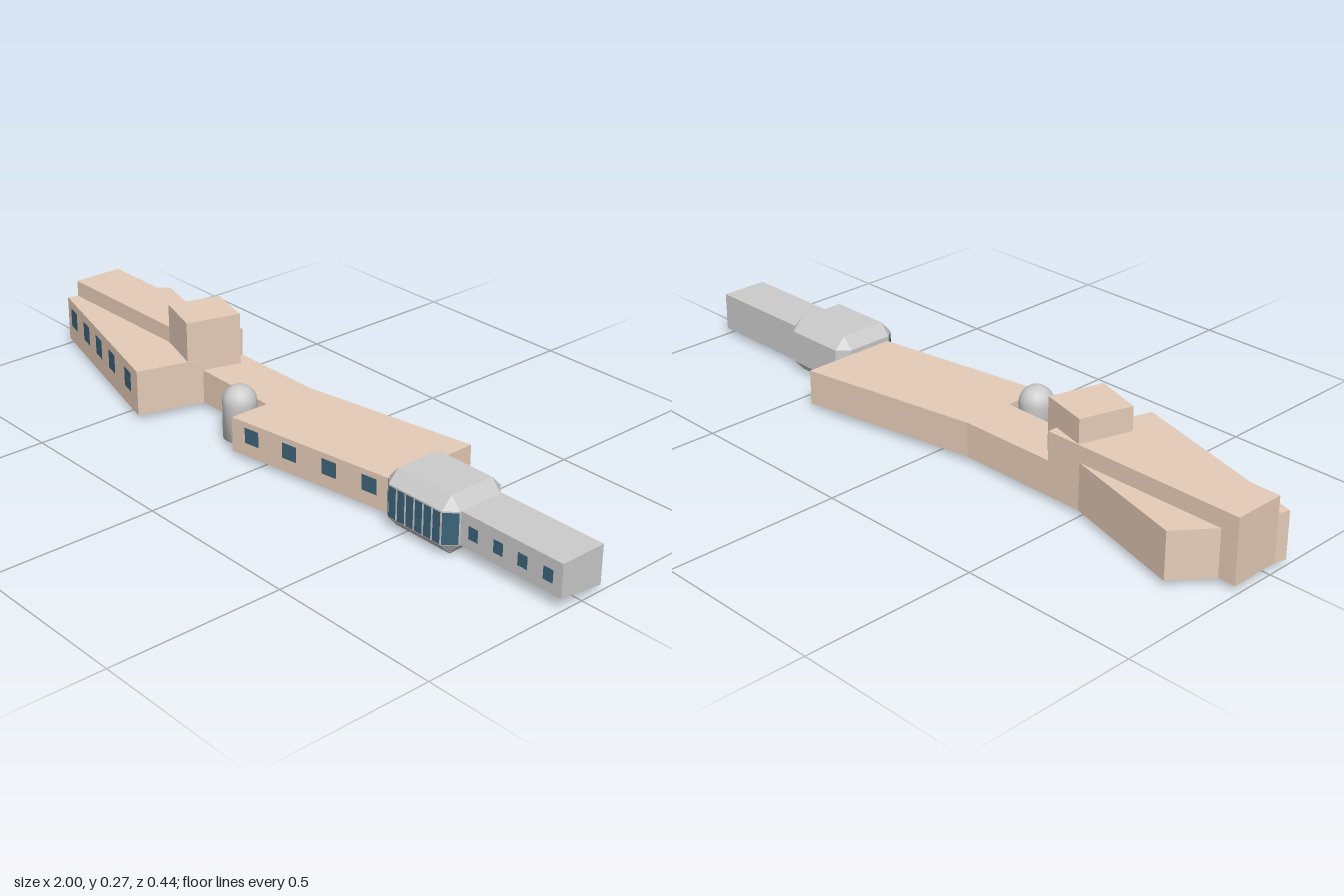
import * as THREE from 'three';

const material = (color) => new THREE.MeshStandardMaterial({ color, flatShading: true, side: THREE.DoubleSide });

// Flat-faced solid through rings of [x, y, z] points (anticlockwise from above)
function loft(rings, closedBase) {
  const pos = [];
  const tri = (a, b, c) => pos.push(...a, ...b, ...c);
  const n = rings[0].length;
  for (let r = 0; r < rings.length - 1; r++) {
    const lo = rings[r], hi = rings[r + 1];
    for (let i = 0; i < n; i++) {
      const j = (i + 1) % n;
      tri(lo[i], lo[j], hi[j]);
      tri(lo[i], hi[j], hi[i]);
    }
  }
  const top = rings[rings.length - 1], base = rings[0];
  for (let i = 1; i < n - 1; i++) {
    tri(top[0], top[i], top[i + 1]);
    if (closedBase) tri(base[0], base[i + 1], base[i]);
  }
  const g = new THREE.BufferGeometry();
  g.setAttribute('position', new THREE.Float32BufferAttribute(pos, 3));
  g.computeVertexNormals();
  return g;
}

const ring = (plan, y) => plan.map(([x, z]) => [x, y, z]);
const prism = (plan, y0, y1, closedBase) => loft([ring(plan, y0), ring(plan, y1)], closedBase);

export function createModel() {
  const model = new THREE.Group();
  const tan = material(0xe6ccb8), grey = material(0xcccccc), glass = material(0x3c6379);

  const add = (name, geometry, mat) => {
    const mesh = new THREE.Mesh(geometry, mat);
    mesh.name = name;
    model.add(mesh);
    return mesh;
  };

  // Row of panes on the wall running from a to b ([x, z]), placed by x
  const windows = (name, a, b, xs, y, w, h) => {
    const angle = Math.atan2(b[1] - a[1], b[0] - a[0]);
    const group = new THREE.Group();
    group.name = name;
    for (const x of xs) {
      const z = a[1] + (b[1] - a[1]) * (x - a[0]) / (b[0] - a[0]);
      const pane = new THREE.Mesh(new THREE.PlaneGeometry(w, h), glass);
      pane.name = 'pane';
      pane.position.set(x - Math.sin(angle) * 0.002, y, z + Math.cos(angle) * 0.002);
      pane.rotation.y = -angle;
      group.add(pane);
    }
    model.add(group);
  };

  // Skewed west wing, open underneath
  const wingA = [-1, 0.06], wingB = [-0.436, 0.22];
  add('westWing', prism([wingA, wingB, [-0.35, -0.08], [-0.86, -0.22], [-0.94, -0.12]], 0.016, 0.15, false), tan);
  windows('westWindows', wingA, wingB, [-0.945, -0.838, -0.735, -0.63, -0.505], 0.098, 0.05, 0.058);

  // Long raised block running through the west wing
  add('longBlock', prism([[-0.99, 0.03], [-0.39, 0.03], [-0.39, -0.12], [-0.99, -0.12]], 0.016, 0.198, true), tan);

  // Tower block on the wing's inner corner
  add('tower', prism([[-0.535, 0.03], [-0.395, 0.074], [-0.35, -0.08], [-0.49, -0.118]], 0.14, 0.267, true), tan);

  // Narrow link widening into the central hall
  const hallA = [-0.1, 0.155], hallB = [0.43, 0.075];
  add('centralHall', prism(
    [[-0.1, 0.035], hallA, hallB, [0.43, -0.21], [-0.1, -0.12], [-0.39, -0.12], [-0.39, 0.03]],
    0.016, 0.116, true), tan);
  windows('hallWindows', hallA, hallB, [-0.03, 0.1, 0.232, 0.363], 0.078, 0.048, 0.045);

  // Domed turret
  const r = 0.048;
  const profile = [new THREE.Vector2(0, 0.018), new THREE.Vector2(r, 0.018)];
  for (let i = 0; i <= 6; i++) {
    const t = i / 6 * Math.PI / 2;
    profile.push(new THREE.Vector2(r * Math.cos(t), 0.124 + r * Math.sin(t)));
  }
  const smoothGrey = material(0xcccccc);
  smoothGrey.flatShading = false;
  add('turret', new THREE.LatheGeometry(profile, 16), smoothGrey).position.set(-0.15, 0, 0.087);

  // Chamfered glazed bay, open underneath
  const [x0, x1, x2, x3] = [0.43, 0.46, 0.645, 0.675];
  const [z0, z1, z2, z3] = [-0.093, -0.06, 0.08, 0.112];
  const octagon = [[x0, z2], [x1, z3], [x2, z3], [x3, z2], [x3, z1], [x2, z0], [x1, z0], [x0, z1]];
  const inner = octagon.map(([x, z]) => [Math.min(Math.max(x, x1), x2), Math.min(Math.max(z, z1), z2)]);
  add('glazedBay', loft([ring(inner, 0), ring(octagon, 0.035), ring(octagon, 0.129), ring(inner, 0.163)], false), grey);
  const bayXs = Array.from({ length: 6 }, (_, i) => x1 + (i + 0.5) * (x2 - x1) / 6);
  windows('bayWindows', [x1, z3], [x2, z3], bayXs, 0.082, 0.025, 0.088);
  windows('bayLeftCornerWindow', [x2, z3], [x3, z2], [(x2 + x3) / 2], 0.082, 0.042, 0.088);
  windows('bayRightCornerWindow', [x0, z2], [x1, z3], [(x0 + x1) / 2], 0.082, 0.042, 0.088);

  // East wing with its front wall stopping higher than the back one
  const east = [[0.66, 0.075], [1, 0.075], [1, -0.065], [0.66, -0.065]];
  const eastBase = east.map(([x, z]) => [x, z > 0 ? 0.035 : 0.018, z]);
  add('eastWing', loft([eastBase, ring(east, 0.129)], false), grey);
  windows('eastWindows', east[0], east[1], [0.718, 0.8, 0.878, 0.958], 0.083, 0.031, 0.036);

  return model;
}
